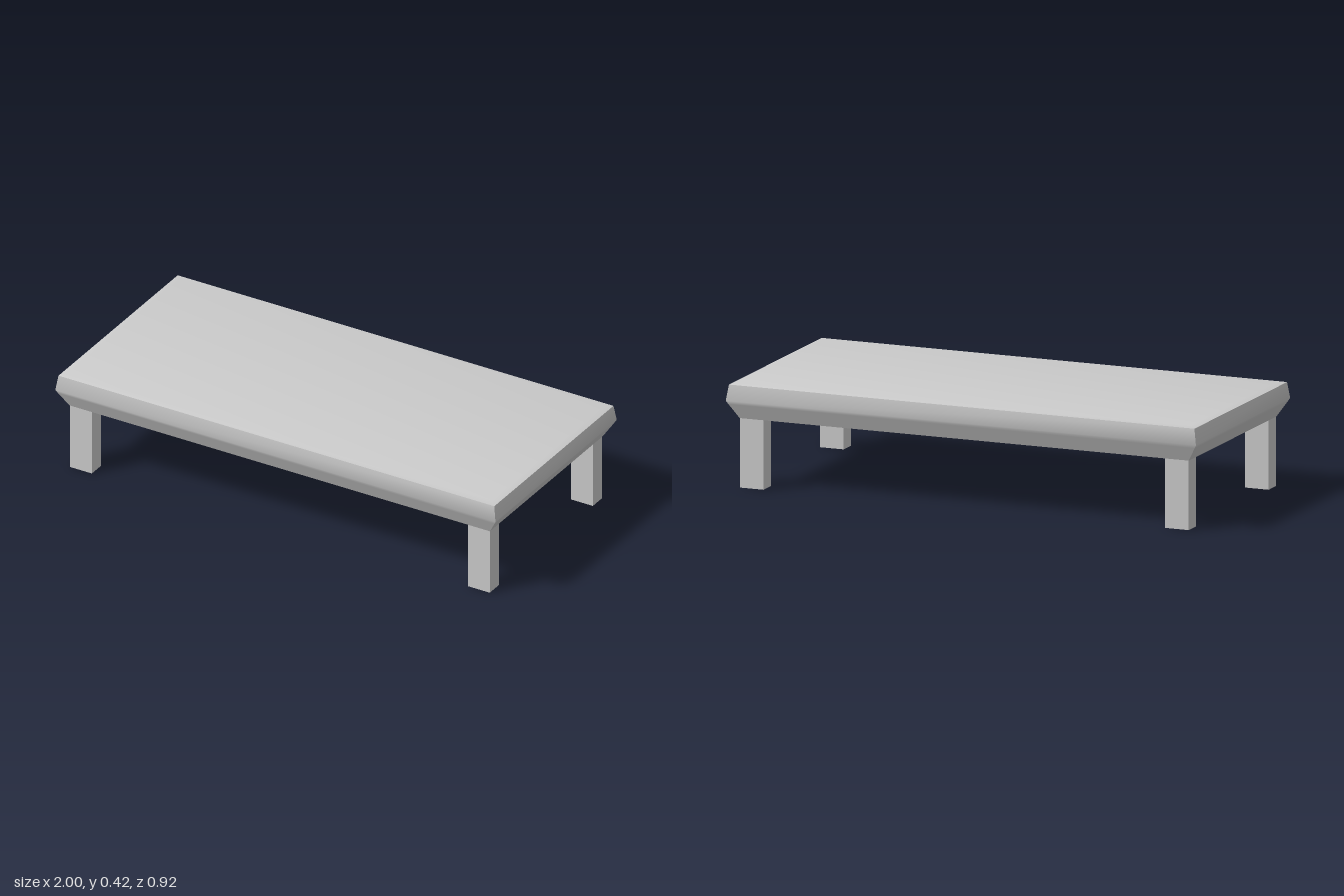
import * as THREE from 'three';
import { toCreasedNormals } from 'three/addons/utils/BufferGeometryUtils.js';

const material = new THREE.MeshStandardMaterial({ color: 0xcccccc });

// Stack rectangles [halfWidth, y, halfDepth], listed bottom to top, into a closed block
function rectLoft(rings, crease) {
  const points = [];
  const index = [];
  for (const [x, y, z] of rings) {
    points.push(x, y, z, x, y, -z, -x, y, -z, -x, y, z);
  }
  for (let r = 0; r < rings.length - 1; r++) {
    for (let i = 0; i < 4; i++) {
      const a = r * 4 + i;
      const b = r * 4 + (i + 1) % 4;
      index.push(a, b, b + 4, a, b + 4, a + 4);
    }
  }
  const t = (rings.length - 1) * 4;
  index.push(t, t + 1, t + 2, t, t + 2, t + 3); // top cap
  index.push(0, 2, 1, 0, 3, 2); // bottom cap
  const geometry = new THREE.BufferGeometry();
  geometry.setAttribute('position', new THREE.Float32BufferAttribute(points, 3));
  geometry.setIndex(index);
  return toCreasedNormals(geometry, crease);
}

function addPart(group, name, geometry) {
  const mesh = new THREE.Mesh(geometry, material);
  mesh.name = name;
  group.add(mesh);
  return mesh;
}

export function createModel() {
  const model = new THREE.Group();
  model.name = 'lowTable';

  // Table top: small under-chamfer, leaning sides and a shallow bevel onto the top
  addPart(model, 'tableTop', rectLoft([
    [0.991, 0.335, 0.455],
    [1.0, 0.35, 0.462],
    [0.99, 0.414, 0.454],
    [0.965, 0.42, 0.43],
  ], THREE.MathUtils.degToRad(45)));

  // Sloping underside, narrowing to the outer faces of the legs
  addPart(model, 'underside', rectLoft([
    [0.955, 0.278, 0.429],
    [0.991, 0.335, 0.455],
  ], 0.1));

  // Four square-cut legs, flush with the underside's corners
  const legWidth = 0.1, legHeight = 0.28, legDepth = 0.071;
  const legGeometry = new THREE.BoxGeometry(legWidth, legHeight, legDepth);
  for (const [front, sz] of [['front', 1], ['back', -1]]) {
    for (const [side, sx] of [['Left', 1], ['Right', -1]]) {
      const leg = addPart(model, `${front}${side}Leg`, legGeometry);
      leg.position.set(sx * (0.954 - legWidth / 2), legHeight / 2, sz * (0.428 - legDepth / 2));
    }
  }
  return model;
}
